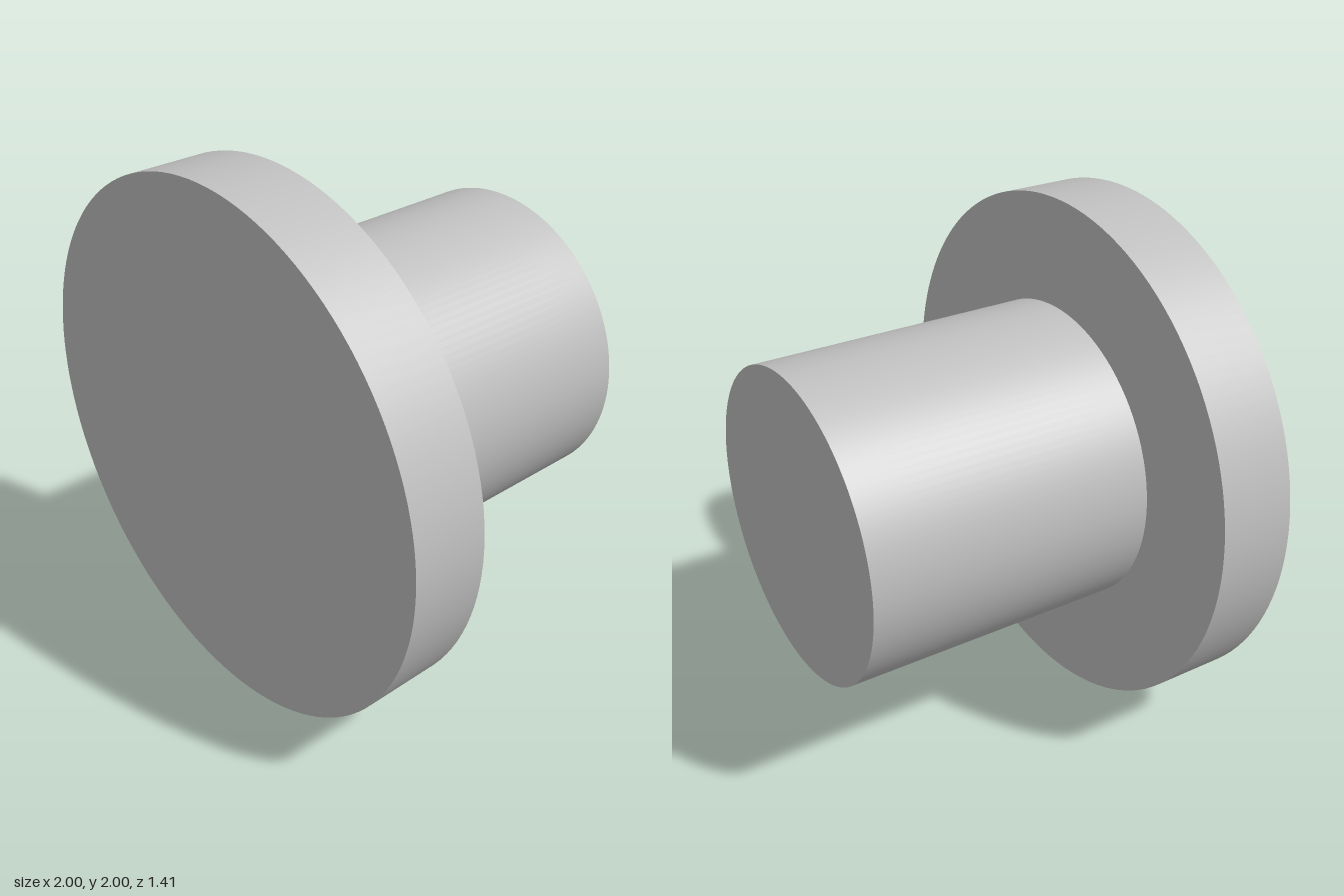
import * as THREE from 'three';

export function createModel() {
  const group = new THREE.Group();
  const grey = new THREE.MeshStandardMaterial({ color: 0xc0c0c0 });
  grey.name = 'light grey';

  // Solid disc with its axis along z, between two z positions
  function disc(name, radius, zBack, zFront) {
    const geometry = new THREE.CylinderGeometry(radius, radius, zFront - zBack, 128);
    geometry.rotateX(Math.PI / 2);
    const mesh = new THREE.Mesh(geometry, grey);
    mesh.name = name;
    mesh.position.set(0, 1, (zBack + zFront) / 2);
    group.add(mesh);
  }

  disc('flange', 1, 0.41, 0.704); // wide front plate
  disc('shaft', 0.592, -0.704, 0.41); // narrower rear cylinder

  return group;
}
